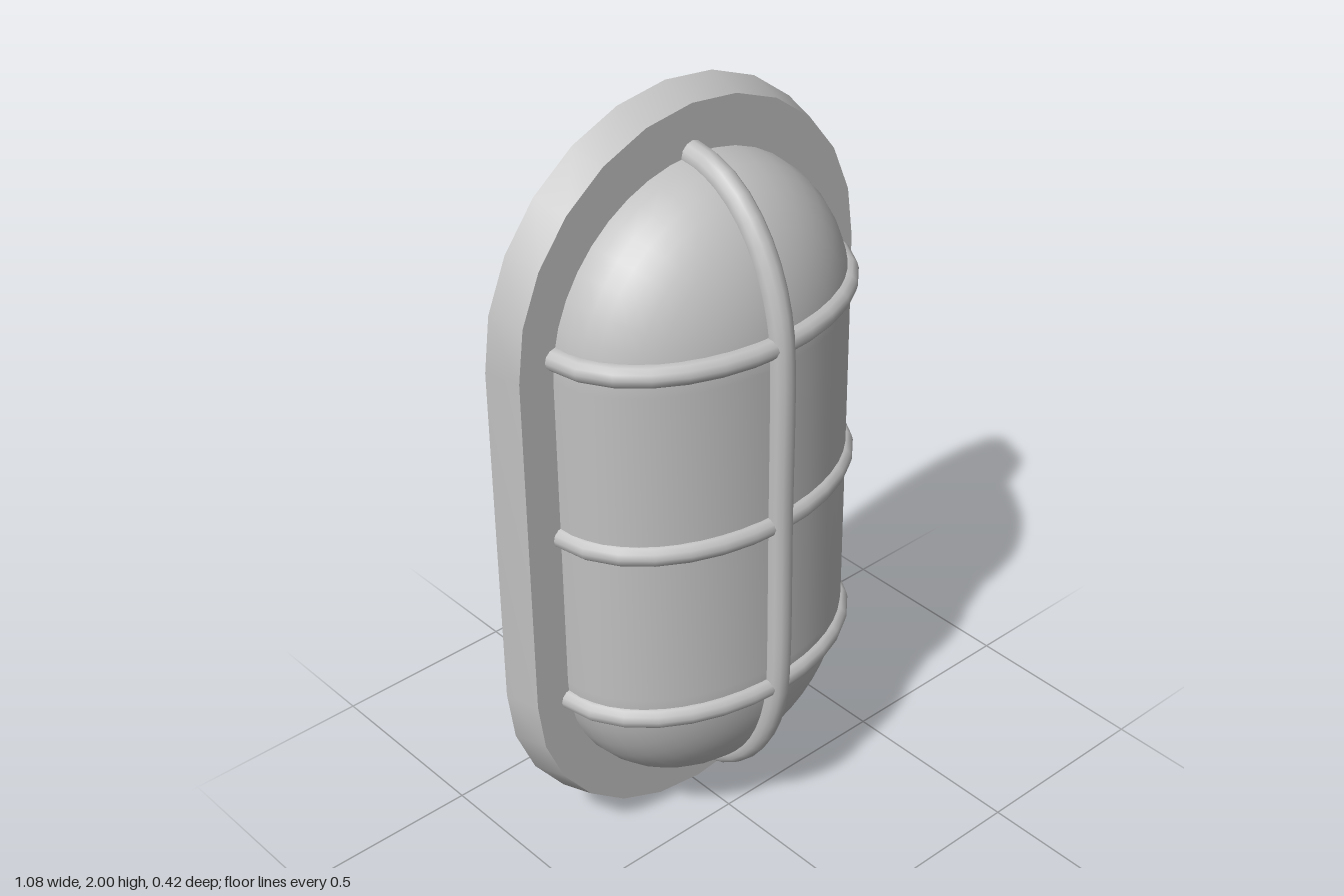
import * as THREE from 'three';

const ARC = 12;          // segments per rounded end
const PLATE_Z = -0.12;   // front plane of the base

// Stadium outline, counter-clockwise: two half circles joined by straight sides
function stadium(radius, halfStraight, segments = ARC) {
  const points = [];
  for (const end of [0, 1]) {
    for (let i = 0; i <= segments; i++) {
      const a = Math.PI * (end + i / segments);
      points.push(new THREE.Vector2(
        radius * Math.cos(a),
        1 + (end ? -halfStraight : halfStraight) + radius * Math.sin(a)));
    }
  }
  return points;
}

// Skin through stadium rings given as [radius, z], from back to front
function skin(rings, halfStraight, segments = ARC) {
  const positions = [], index = [];
  const n = 2 * (segments + 1);
  rings.forEach(([radius, z], r) => {
    stadium(radius, halfStraight, segments).forEach(p => positions.push(p.x, p.y, z));
    if (r === 0) return;
    for (let i = 0; i < n; i++) {
      const j = (i + 1) % n;
      const a = (r - 1) * n + i, b = (r - 1) * n + j, c = r * n + j, d = r * n + i;
      index.push(a, b, c, a, c, d);
    }
  });
  const geometry = new THREE.BufferGeometry();
  geometry.setAttribute('position', new THREE.Float32BufferAttribute(positions, 3));
  geometry.setIndex(index);
  geometry.computeVertexNormals();
  return geometry;
}

export function createModel() {
  const group = new THREE.Group();
  const grey = new THREE.MeshStandardMaterial({ color: 0xc0c0c0, side: THREE.DoubleSide });
  grey.name = 'grey';

  function add(name, geometry, parent = group) {
    const mesh = new THREE.Mesh(geometry, grey);
    mesh.name = name;
    parent.add(mesh);
    return mesh;
  }

  // Hollow base: a flared wall, open at the back, and a front plate
  add('baseWall', skin([[0.54, -0.21], [0.515, PLATE_Z]], 0.46));
  add('basePlate', new THREE.ShapeGeometry(new THREE.Shape(stadium(0.515, 0.46))))
    .position.z = PLATE_Z;

  // Domed lens with a flat back just behind the plate
  const rings = [[0.42, PLATE_Z - 0.005]];
  for (let i = 0; i <= 12; i++) {
    const a = (i / 12) * Math.PI / 2;
    rings.push([0.42 * Math.cos(a) + 1e-4, PLATE_Z + 0.295 * Math.sin(a)]);
  }
  add('lens', skin(rings, 0.43, 20));
  const back = add('lensBack',
    new THREE.ShapeGeometry(new THREE.Shape(stadium(0.42, 0.43, 20))));
  back.position.z = PLATE_Z - 0.005;

  // Guard bar along a path, with both ends closed
  function bar(name, points, radius, steps) {
    const holder = new THREE.Group();
    holder.name = name;
    group.add(holder);
    const curve = new THREE.CatmullRomCurve3(points);
    add(name + 'Tube', new THREE.TubeGeometry(curve, steps, radius, 12), holder);
    for (const p of [points[0], points[points.length - 1]]) {
      const cap = add(name + 'End', new THREE.CircleGeometry(radius, 12), holder);
      cap.position.copy(p);
      cap.rotation.y = Math.PI;
    }
  }

  // Three crosswise guard bars
  for (const y of [0.515, 1, 1.485]) {
    const points = [];
    for (let i = 0; i <= 12; i++) {
      const a = Math.PI * i / 12;
      points.push(new THREE.Vector3(
        0.413 * Math.cos(a), y, PLATE_Z - 0.006 + 0.294 * Math.sin(a)));
    }
    bar('crossBar', points, 0.029, 14);
  }

  // One lengthwise guard bar, straight in the middle
  const long = [];
  for (const end of [1, -1]) {
    for (let i = 0; i <= 6; i++) {
      const a = (end > 0 ? i : 6 - i) * Math.PI / 12;
      long.push(new THREE.Vector3(
        0, 1 + end * (0.43 + 0.422 * Math.cos(a)), PLATE_Z - 0.006 + 0.303 * Math.sin(a)));
    }
    if (end > 0) long.push(new THREE.Vector3(0, 1, 0.177));
  }
  bar('lengthBar', long, 0.033, 36);

  return group;
}
